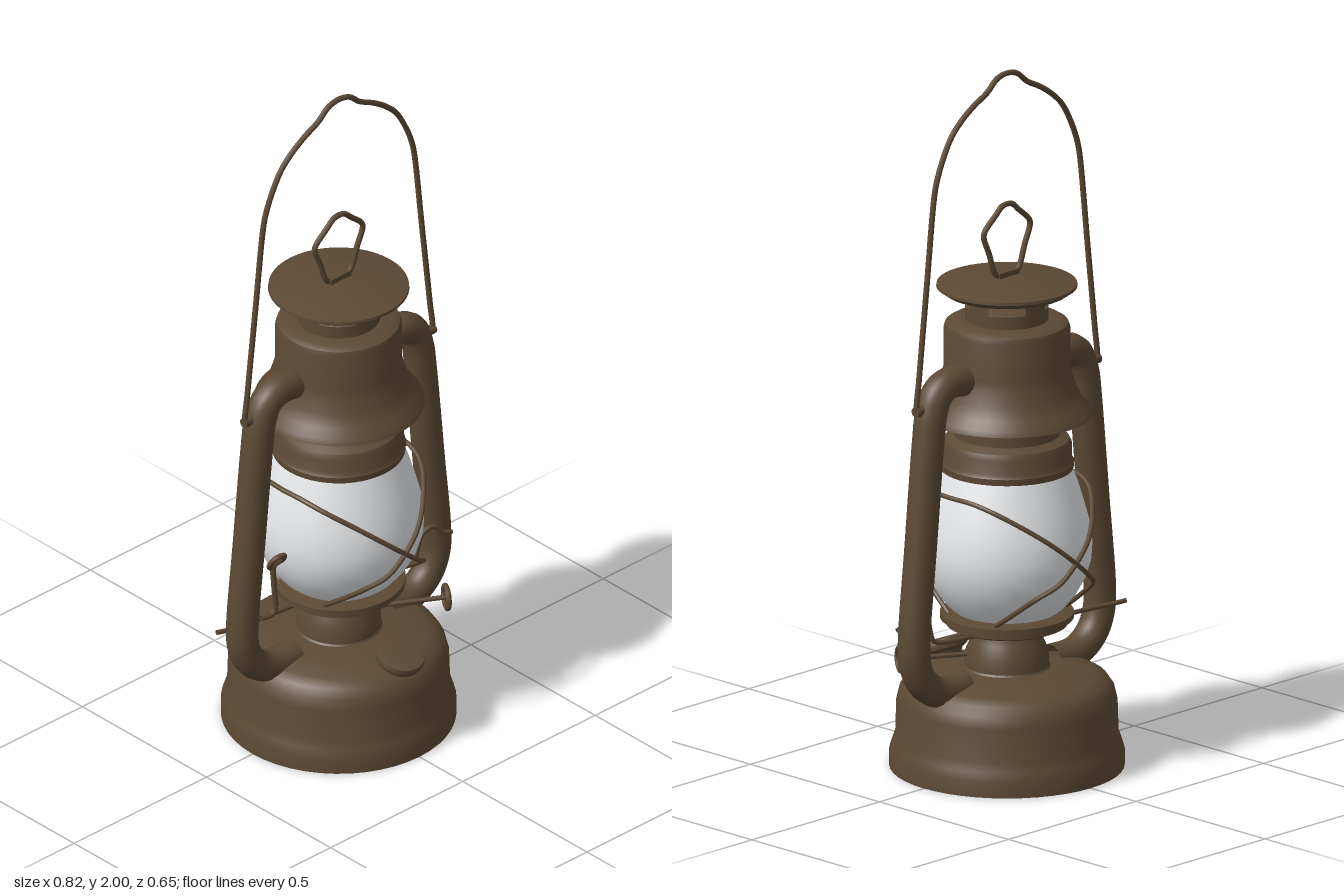
import * as THREE from 'three';
import { toCreasedNormals } from 'three/addons/utils/BufferGeometryUtils.js';

const metal = new THREE.MeshStandardMaterial({ color: 0x5c4934, side: THREE.DoubleSide });
metal.name = 'brown metal';
const glass = new THREE.MeshStandardMaterial({ color: 0xe6e8ea, side: THREE.DoubleSide });
glass.name = 'frosted glass';

function add(parent, name, geometry, material = metal) {
  const mesh = new THREE.Mesh(geometry, material);
  mesh.name = name;
  parent.add(mesh);
  return mesh;
}

// Turned part from [radius, height] pairs
function turned(parent, name, profile, material = metal, crease = 0.6) {
  const pts = profile.map(([r, y]) => new THREE.Vector2(r, y));
  return add(parent, name, toCreasedNormals(new THREE.LatheGeometry(pts, 48), crease), material);
}

// Round bar along a smooth path
function wire(parent, name, points, radius = 0.007, closed = false, sides = 8) {
  const path = new THREE.CatmullRomCurve3(points.map((p) => new THREE.Vector3(...p)), closed, 'centripetal');
  return add(parent, name, new THREE.TubeGeometry(path, points.length * 8, radius, sides, closed));
}

export function createModel() {
  const lantern = new THREE.Group();
  lantern.name = 'lantern';

  // Fuel tank and burner
  turned(lantern, 'fuelTank', [
    [0, 0.012], [0.31, 0.012], [0.315, 0], [0.325, 0], [0.325, 0.045], [0.317, 0.07], [0.308, 0.095],
    [0.305, 0.19], [0.297, 0.222], [0.28, 0.247], [0.25, 0.262], [0.19, 0.275], [0.12, 0.285], [0, 0.285],
  ]);
  turned(lantern, 'burner', [
    [0.125, 0.28], [0.117, 0.29], [0.115, 0.33], [0.1, 0.365], [0.087, 0.395], [0.087, 0.41], [0, 0.41],
  ]);
  turned(lantern, 'globePlate', [
    [0.08, 0.4], [0.15, 0.4], [0.168, 0.408], [0.168, 0.422], [0.185, 0.426], [0.185, 0.442], [0.15, 0.448], [0, 0.448],
  ]);

  // Glass globe
  turned(lantern, 'globe', [
    [0.135, 0.44], [0.165, 0.465], [0.193, 0.5], [0.218, 0.545], [0.233, 0.595], [0.236, 0.64],
    [0.23, 0.695], [0.215, 0.75], [0.197, 0.81], [0.175, 0.87],
  ], glass, 1.2);

  // Chimney
  turned(lantern, 'globeCollar', [
    [0.165, 0.857], [0.184, 0.857], [0.186, 0.875], [0.18, 0.885], [0.18, 0.925], [0.172, 0.942],
    [0.147, 0.955], [0.145, 1.03], [0.145, 1.06],
  ]);
  turned(lantern, 'hood', [
    [0.14, 1.06], [0.18, 1.06], [0.228, 1.012], [0.238, 1.012], [0.232, 1.028], [0.21, 1.05], [0.194, 1.085],
    [0.181, 1.125], [0.175, 1.15], [0.175, 1.26], [0.17, 1.275], [0.155, 1.284], [0.115, 1.286],
    [0.115, 1.322], [0.108, 1.326], [0, 1.326],
  ]);
  for (let i = 0; i < 4; i++) {
    const strap = add(lantern, 'capStrap',
      new THREE.CylinderGeometry(0.116, 0.116, 0.055, 8, 1, true, -0.33 + i * Math.PI / 2, 0.66));
    strap.position.y = 1.345;
  }
  turned(lantern, 'cap', [
    [0, 1.37], [0.12, 1.366], [0.14, 1.36], [0.172, 1.364], [0.195, 1.38], [0.194, 1.388], [0.15, 1.397],
    [0.08, 1.405], [0, 1.409],
  ]);
  const mount = add(lantern, 'ringMount', new THREE.BoxGeometry(0.075, 0.02, 0.022));
  mount.position.y = 1.413;
  wire(lantern, 'liftingRing', [
    [-0.035, 1.415, 0], [-0.048, 1.425, 0], [-0.07, 1.485, 0], [-0.091, 1.54, 0], [-0.085, 1.555, 0],
    [-0.045, 1.59, 0], [-0.018, 1.612, 0], [0.018, 1.612, 0], [0.045, 1.59, 0], [0.085, 1.555, 0],
    [0.091, 1.54, 0], [0.07, 1.485, 0], [0.048, 1.425, 0], [0.035, 1.415, 0],
  ], 0.008, true);

  // Air tubes and guard wires, mirrored on both sides
  for (const s of [-1, 1]) {
    wire(lantern, 'airTube', [
      [0.14, 1.13, 0], [0.19, 1.147, 0], [0.24, 1.146, 0], [0.277, 1.122, 0], [0.298, 1.07, 0], [0.308, 1, 0],
      [0.338, 0.7, 0], [0.364, 0.43, 0], [0.361, 0.37, 0], [0.338, 0.315, 0], [0.295, 0.277, 0],
      [0.245, 0.262, 0], [0.17, 0.262, 0],
    ].map(([x, y, z]) => [s * x, y, z]), 0.045, false, 16);
    const ear = add(lantern, 'handleEar', new THREE.CylinderGeometry(0.014, 0.014, 0.07, 12));
    ear.rotation.z = Math.PI / 2;
    ear.position.set(s * 0.325, 1.092, 0);
    for (const f of [-1, 1]) {
      wire(lantern, 'globeGuard', [
        [0.21, 0.81, 0], [0.205, 0.808, 0.07], [0.185, 0.79, 0.135], [0.12, 0.737, 0.212], [0.06, 0.686, 0.255],
        [0, 0.635, 0.268], [-0.06, 0.585, 0.262], [-0.112, 0.545, 0.222], [-0.127, 0.5, 0.165], [-0.138, 0.445, 0.09],
      ].map(([x, y, z]) => [s * x, y, f * z]));
    }
  }

  // Carrying handle
  const side = [
    [0.325, 1.085], [0.348, 1.083], [0.354, 1.1], [0.345, 1.18], [0.315, 1.44], [0.286, 1.69], [0.276, 1.735],
    [0.252, 1.795], [0.217, 1.855], [0.175, 1.895], [0.13, 1.925], [0.078, 1.952], [0.04, 1.983],
  ];
  wire(lantern, 'carryingHandle', [
    ...side.map(([x, y]) => [-x, y, 0]), [0, 1.992, 0], ...side.slice().reverse().map(([x, y]) => [x, y, 0]),
  ], 0.008);

  // Filler cap, tilted towards the front
  const filler = turned(lantern, 'fillerCap', [
    [0.042, -0.09], [0.042, -0.035], [0.05, -0.02], [0.066, -0.012], [0.07, 0.002], [0.066, 0.014], [0.05, 0.017], [0, 0.017],
  ]);
  filler.position.set(0, 0.293, 0.247);
  filler.rotation.x = 0.38;

  // Wick knob on its spindle
  const wick = new THREE.Group();
  wick.name = 'wickAdjuster';
  wick.position.y = 0.327;
  wick.rotation.y = -0.52;
  lantern.add(wick);
  wire(wick, 'spindle', [[0.08, 0, 0], [0.2, 0, 0], [0.31, 0, 0]]);
  const rim = add(wick, 'knobRim', new THREE.TorusGeometry(0.032, 0.008, 8, 24));
  rim.position.x = 0.305;
  rim.rotation.y = Math.PI / 2;
  const spoke = add(wick, 'knobSpoke', new THREE.BoxGeometry(0.008, 0.064, 0.014));
  spoke.position.x = 0.305;

  // Globe lifting lever and its crossbar
  wire(lantern, 'crossbar', [
    [-0.4, 0.398, -0.065], [-0.36, 0.395, -0.055], [-0.3, 0.395, -0.045], [0, 0.395, -0.01], [0.235, 0.395, 0.03],
    [0.253, 0.402, 0.035], [0.27, 0.465, 0.04], [0.288, 0.488, 0.045], [0.315, 0.488, 0.05],
    [0.335, 0.465, 0.055], [0.37, 0.452, 0.06],
  ]);
  wire(lantern, 'liftLever', [
    [-0.335, 0.467, 0.045], [-0.3, 0.467, 0.05], [-0.288, 0.48, 0.05], [-0.293, 0.56, 0.052], [-0.297, 0.625, 0.055],
    [-0.29, 0.66, 0.085], [-0.305, 0.685, 0.102], [-0.332, 0.685, 0.1], [-0.34, 0.66, 0.085], [-0.31, 0.625, 0.055],
  ], 0.008);
  return lantern;
}
